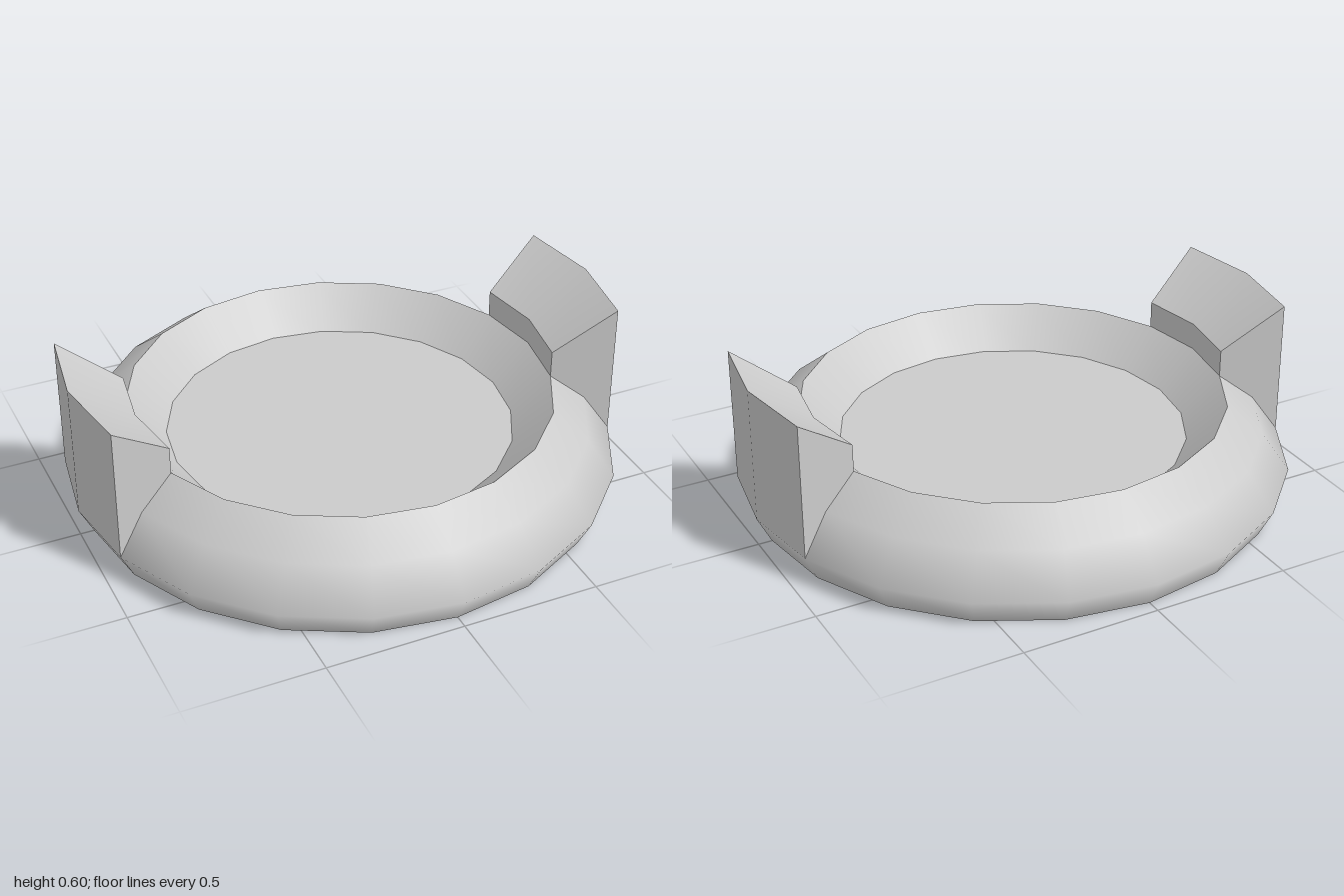
import * as THREE from 'three';

const SIDES = 20;
const STEP = (Math.PI * 2) / SIDES;
const material = new THREE.MeshStandardMaterial({ color: 0xcccccc });
const thinMaterial = new THREE.MeshStandardMaterial({ color: 0xcccccc, side: THREE.DoubleSide });

const toPoints = (list) => list.map(([r, y]) => new THREE.Vector2(r, y));

// Smooth revolved strip; separate strips keep a sharp edge between them
function band(name, profile, segments = SIDES, start = 0) {
  const geometry = new THREE.LatheGeometry(toPoints(profile), segments, start, segments * STEP);
  const mesh = new THREE.Mesh(geometry, material);
  mesh.name = name;
  return mesh;
}

function createHandle(name) {
  const handle = new THREE.Group();
  handle.name = name;
  const start = Math.PI / 2 - STEP;

  // Outer wall, sloping top and short inner wall, two facets wide
  handle.add(
    band('handleOuterWall', [[1, 0.1], [1, 0.6]], 2, start),
    band('handleTop', [[1, 0.6], [0.77, 0.44]], 2, start),
    band('handleInnerWall', [[0.77, 0.44], [0.77, 0.34]], 2, start),
  );

  // Flat ends that follow the rounded dish wall
  const outline = toPoints([[1, 0.1], [1, 0.6], [0.77, 0.44], [0.77, 0.34], [0.9, 0.24]]);
  for (const side of [-1, 1]) {
    const end = new THREE.Mesh(new THREE.ShapeGeometry(new THREE.Shape(outline)), thinMaterial);
    end.name = 'handleEnd';
    end.rotation.y = side * STEP;
    handle.add(end);
  }
  return handle;
}

export function createModel() {
  const model = new THREE.Group();
  model.name = 'dish';

  // Round dish
  model.add(
    band('base', [[0, 0], [0.95, 0]]),
    band('outerWall', [[0.95, 0], [1, 0.1], [0.9, 0.24], [0.77, 0.34]]),
    band('innerWall', [[0.77, 0.34], [0.63, 0.2]]),
    band('floor', [[0.63, 0.2], [0, 0.2]]),
  );

  // Opposite handles
  const left = createHandle('leftHandle');
  const right = createHandle('rightHandle');
  right.rotation.y = Math.PI;
  model.add(left, right);
  return model;
}
